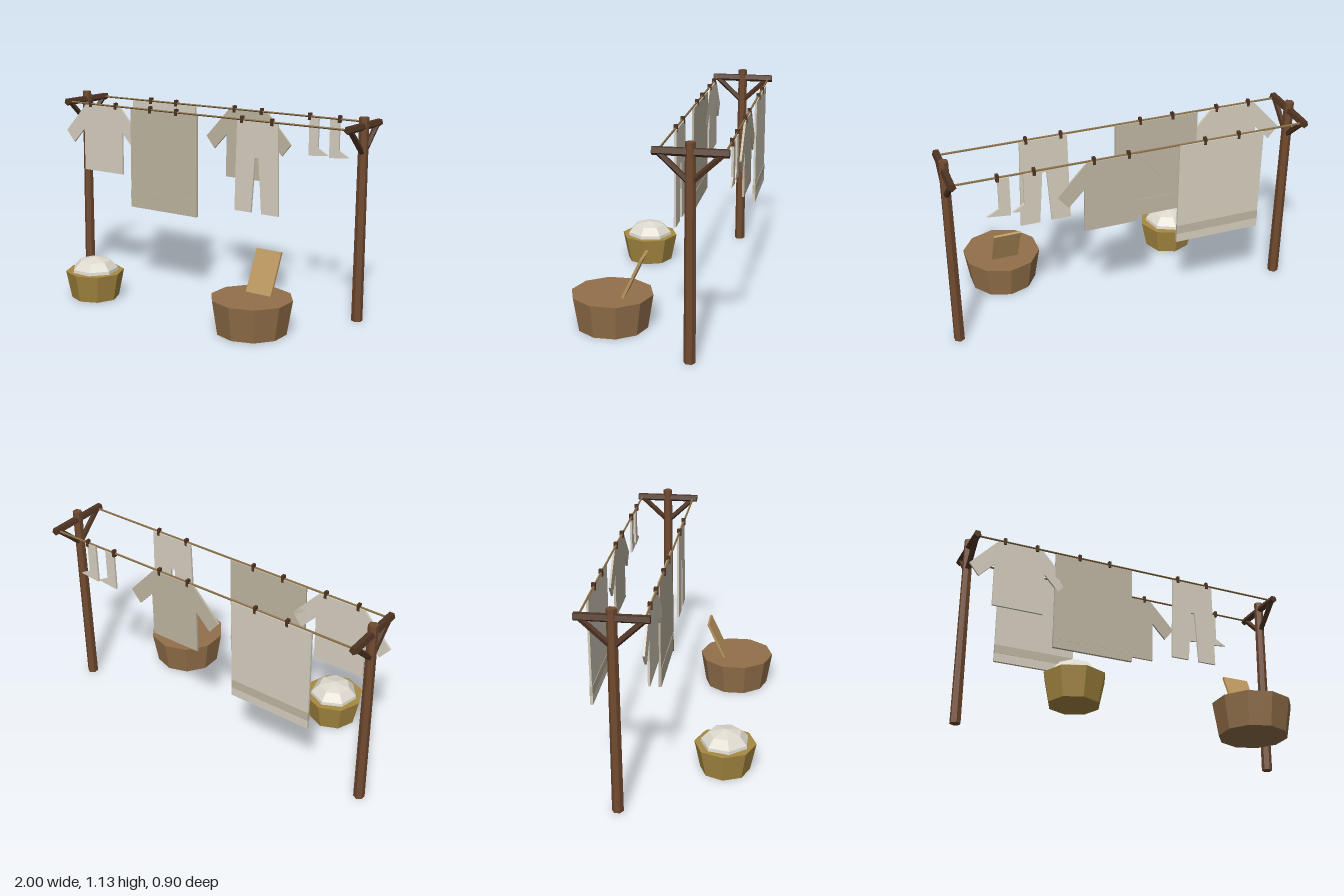
import * as THREE from 'three';

const mat = (color) => new THREE.MeshStandardMaterial({ color, flatShading: true });
const POST_X = 0.971, POST_Z = -0.262, LINE_Y = 1.082;

export function createModel() {
  const root = new THREE.Group();
  const wood = mat(0x704a2f), darkWood = mat(0x4f3423), rope = mat(0x8a7048);
  const light = mat(0xd6cebf), linen = mat(0xbfb5a1), heapCloth = mat(0xdedacf);
  const straw = mat(0xa88a42), tubWood = mat(0x93704a), boardWood = mat(0xba965f);

  const add = (name, geo, material, x = 0, y = 0, z = 0, parent = root) => {
    const m = new THREE.Mesh(geo, material);
    m.name = name;
    m.position.set(x, y, z);
    parent.add(m);
    return m;
  };

  // Round bar between two points
  const bar = (name, a, b, r, sides, material, parent = root) => {
    const p = new THREE.Vector3(...a), q = new THREE.Vector3(...b);
    const d = q.clone().sub(p);
    const m = add(name, new THREE.CylinderGeometry(r, r, d.length(), sides), material, 0, 0, 0, parent);
    m.position.copy(p).add(q).multiplyScalar(0.5);
    m.quaternion.setFromUnitVectors(new THREE.Vector3(0, 1, 0), d.normalize());
    return m;
  };

  // Posts with crossbar and braces
  for (const side of [-1, 1]) {
    const x = side * POST_X;
    const g = new THREE.Group();
    g.name = side > 0 ? 'leftPost' : 'rightPost';
    root.add(g);
    add('post', new THREE.CylinderGeometry(0.027, 0.031, 1.133, 6), wood, x, 0.5665, POST_Z, g);
    bar('crossbar', [x, 1.083, POST_Z - 0.187], [x, 1.083, POST_Z + 0.187], 0.0226, 5, darkWood, g);
    for (const s of [-1, 1])
      bar('brace', [x, 0.93, POST_Z], [x, 1.075, POST_Z + s * 0.155], 0.0165, 5, darkWood, g);
  }

  // Cloth cut from an outline, hung at x on a line
  const cloth = (name, points, material, x, z, parent) => {
    const shape = new THREE.Shape(points.map(([px, py]) => new THREE.Vector2(px, py)));
    const geo = new THREE.ExtrudeGeometry(shape, { depth: 0.012, bevelEnabled: false });
    geo.translate(0, 0, -0.006);
    return add(name, geo, material, x, 0, z, parent);
  };
  const mirrored = (half) => [...half, ...half.slice().reverse().map(([x, y]) => [-x, y])];

  const shirt = mirrored([
    [0.15, 0.668], [0.15, 0.925], [0.237, 0.832], [0.295, 0.903], [0.132, 1.08],
  ]);
  const trousers = mirrored([
    [0.012, 0.875], [0.034, 0.56], [0.144, 0.56], [0.132, 1.08],
  ]);
  const sock = [[0, 0.855], [0.125, 0.868], [0.06, 0.905], [0.06, 1.08], [0, 1.08]];

  // Sheet with a thicker band and hem at the bottom
  const sheet = (name, x, z, main, band, parent) => {
    const g = new THREE.Group();
    g.name = name;
    parent.add(g);
    add('panel', new THREE.BoxGeometry(0.486, 0.497, 0.012), main, x, 0.8315, z, g);
    add('band', new THREE.BoxGeometry(0.486, 0.053, 0.017), band, x, 0.5565, z, g);
    add('hem', new THREE.BoxGeometry(0.486, 0.052, 0.016), main, x, 0.504, z, g);
  };

  // Two lines with their pegs
  const lines = [
    { name: 'frontLine', z: -0.101, pegs: [-0.8, -0.605, -0.34, -0.15, 0.305, 0.5] },
    { name: 'backLine', z: -0.426, pegs: [-0.585, -0.39, 0.04, 0.23, 0.55, 0.74] },
  ].map(({ name, z, pegs }) => {
    const g = new THREE.Group();
    g.name = name;
    root.add(g);
    bar('rope', [-POST_X, LINE_Y, z], [POST_X, LINE_Y, z], 0.006, 5, rope, g);
    for (const x of pegs)
      add('peg', new THREE.BoxGeometry(0.016, 0.04, 0.022), darkWood, x, LINE_Y, z - 0.002, g);
    return g;
  });

  // Washing on the lines
  const zf = -0.107, zb = -0.431;
  cloth('shirt', shirt, light, -0.705, zf, lines[0]);
  sheet('sheet', -0.246, zf, linen, linen, lines[0]);
  cloth('trousers', trousers, light, 0.404, zf, lines[0]);
  sheet('sheet', -0.488, zb, light, linen, lines[1]);
  cloth('shirt', shirt, linen, 0.135, zb, lines[1]);
  for (const x of [0.548, 0.68]) cloth('sock', sock, light, x, zb, lines[1]);

  // Basket with a heap of washing
  add('basket', new THREE.CylinderGeometry(0.171, 0.138, 0.16, 8), straw, -0.487, 0.08, 0.249);
  const heapProfile = [[0.138, 0.155], [0.134, 0.178], [0.092, 0.222], [0, 0.243]];
  const heap = add('laundryHeap',
    new THREE.LatheGeometry(heapProfile.map(([r, y]) => new THREE.Vector2(r, y)), 7),
    heapCloth, -0.487, 0, 0.249);
  heap.rotation.y = Math.PI;

  // Wash tub with a leaning washboard
  add('washTub', new THREE.CylinderGeometry(0.225, 0.194, 0.19, 10), tubWood, 0.591, 0.095, 0.225);
  const board = add('washboard', new THREE.BoxGeometry(0.157, 0.34, 0.014), boardWood, 0.59, 0.256, 0.122);
  board.rotation.x = -0.436;

  return root;
}
